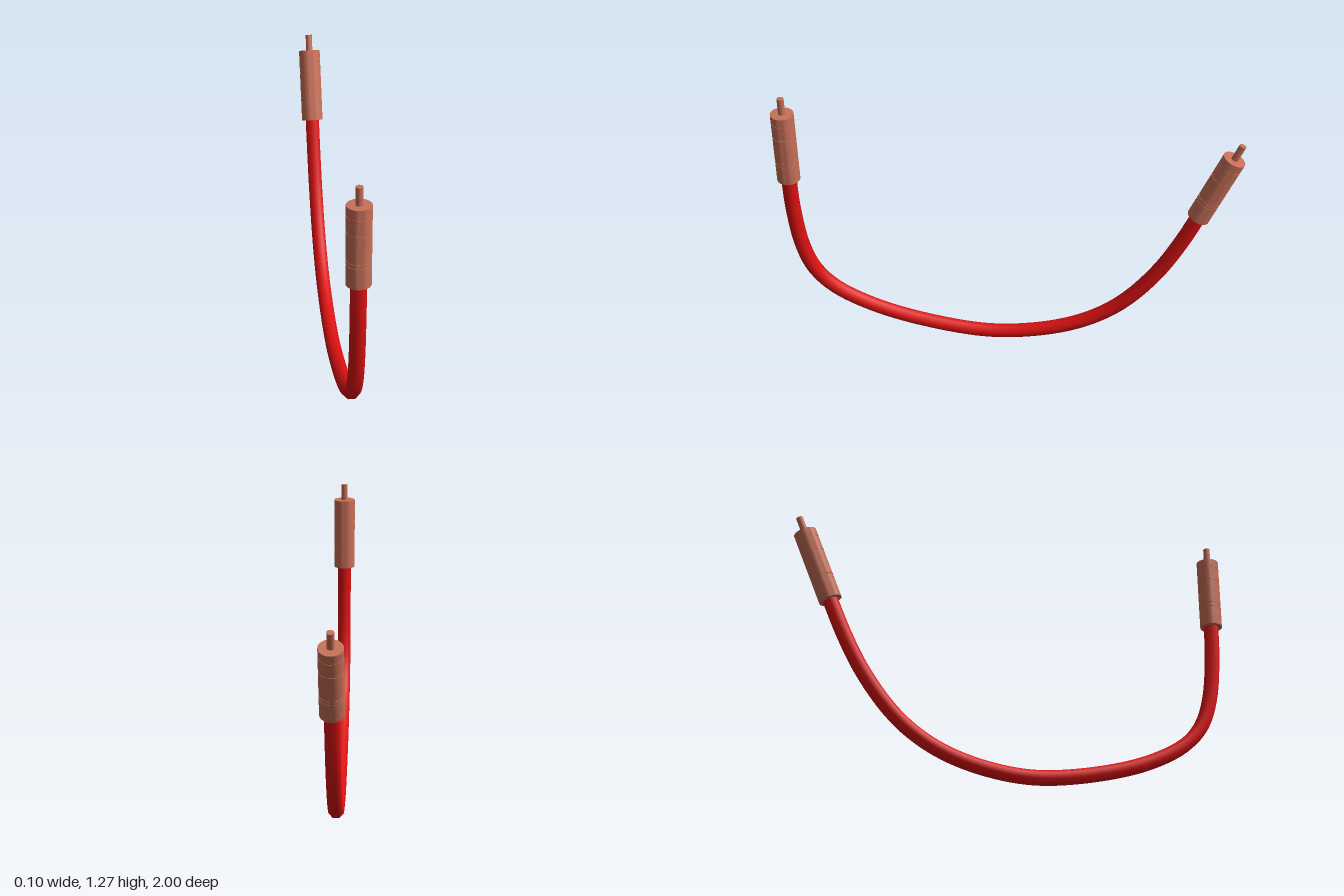
import * as THREE from 'three';
import { toCreasedNormals } from 'three/addons/utils/BufferGeometryUtils.js';

const copper = new THREE.MeshStandardMaterial({ color: 0xc87058 });
const red = new THREE.MeshStandardMaterial({ color: 0xdd1111 });

// Connector standing on its cable end: grooved barrel with a contact pin
function makePlug(name) {
  const R = 0.05, H = 0.335, groove = 0.0015, half = 0.002;
  const profile = [[0, 0], [R, 0]];
  for (const y of [0.09, 0.108, 0.228, 0.295]) {
    profile.push([R, y - half], [R - groove, y - half], [R - groove, y + half], [R, y + half]);
  }
  profile.push([R, H], [0, H]);

  const plug = new THREE.Group();
  plug.name = name;
  const barrel = new THREE.Mesh(
    toCreasedNormals(new THREE.LatheGeometry(profile.map(([x, y]) => new THREE.Vector2(x, y)), 32), 0.6),
    copper
  );
  barrel.name = 'barrel';
  const pin = new THREE.Mesh(new THREE.CylinderGeometry(0.015, 0.015, 0.085, 16), copper);
  pin.name = 'contactPin';
  pin.position.y = H - 0.01 + 0.0425;
  plug.add(barrel, pin);
  return plug;
}

// Hanging eight-sided cable lying in the plane x = 0
function makeCable() {
  const path = new THREE.CatmullRomCurve3([
    [0.95, 0.89], [0.945, 0.7], [0.921, 0.5], [0.875, 0.365], [0.79, 0.262],
    [0.63, 0.165], [0.4, 0.085], [0.1, 0.032], [-0.12, 0.047], [-0.31, 0.1],
    [-0.45, 0.177], [-0.56, 0.275], [-0.675, 0.427], [-0.76, 0.583], [-0.84, 0.765]
  ].map(([z, y]) => new THREE.Vector3(0, y, z)));

  // Turn the section half a side so that a flat faces down
  const frames = path.computeFrenetFrames.bind(path);
  path.computeFrenetFrames = (segments, closed) => {
    const f = frames(segments, closed);
    f.tangents.forEach((t, i) => {
      f.normals[i].applyAxisAngle(t, Math.PI / 8);
      f.binormals[i].applyAxisAngle(t, Math.PI / 8);
    });
    return f;
  };
  const cable = new THREE.Mesh(new THREE.TubeGeometry(path, 80, 0.0335, 8), red);
  cable.name = 'cable';
  return cable;
}

export function createModel() {
  const model = new THREE.Group();
  model.name = 'patchCable';

  const frontPlug = makePlug('frontPlug');
  frontPlug.position.set(0, 0.86, 0.95);

  const backPlug = makePlug('backPlug');
  backPlug.position.set(0, 0.738, -0.828);
  backPlug.rotation.x = -0.393;

  model.add(makeCable(), frontPlug, backPlug);
  return model;
}
